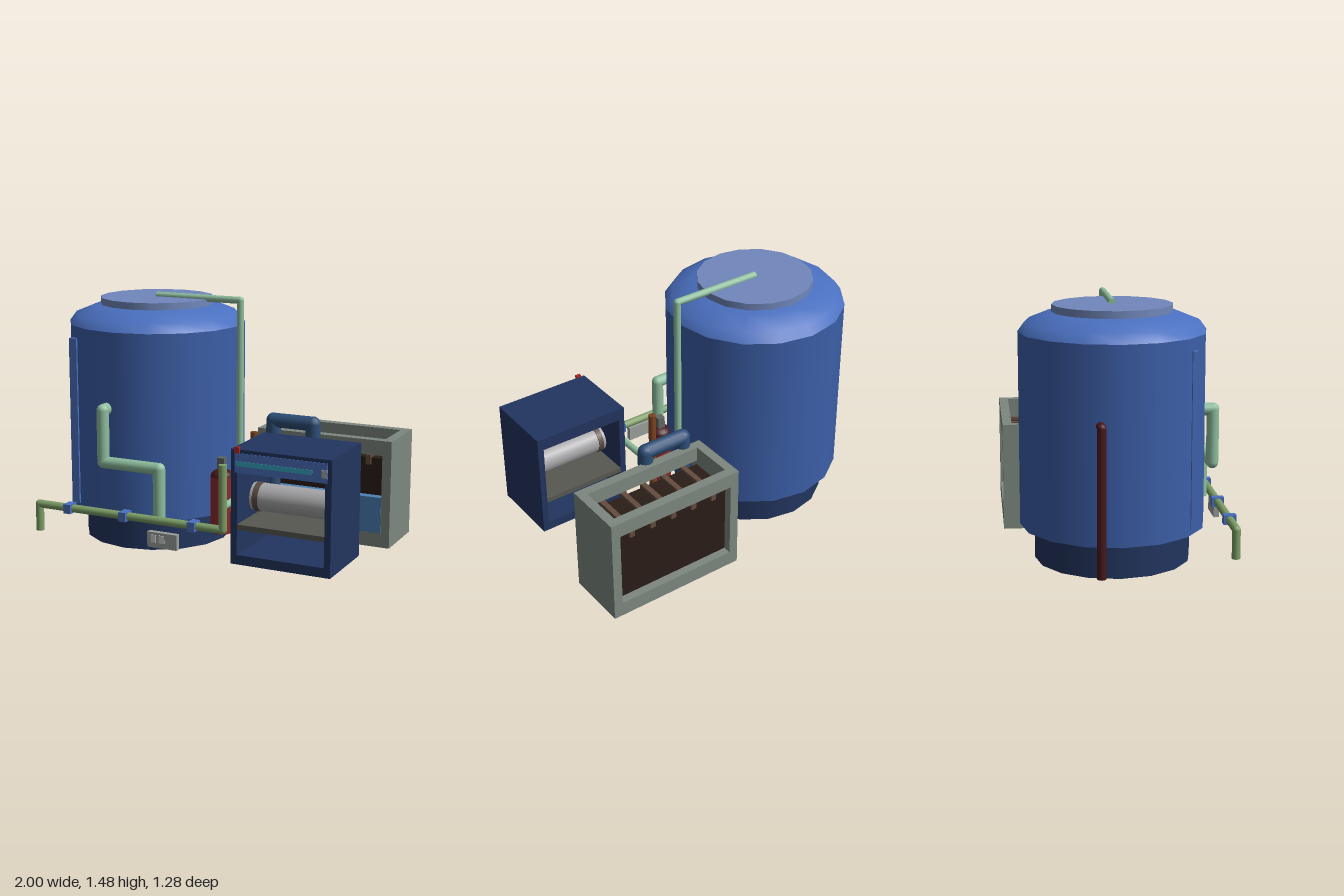
import * as THREE from 'three';

export function createModel() {
  const model = new THREE.Group();
  const mat = (color) => new THREE.MeshStandardMaterial({ color });
  const navy = mat(0x22355f), tankBlue = mat(0x3c5fa8), trimBlue = mat(0x4a70c0);
  const mint = mat(0x8fbf9f), olive = mat(0x7d9f68), concrete = mat(0x7d8880);
  const bark = mat(0x2a1d16), slatBrown = mat(0x644b3e), grey = mat(0x9aa09c);
  const red = mat(0x8c2b2b), maroon = mat(0x48181c), silver = mat(0xa8a8aa);

  function add(name, geometry, material, x = 0, y = 0, z = 0, parent = model) {
    const mesh = new THREE.Mesh(geometry, material);
    mesh.name = name;
    mesh.position.set(x, y, z);
    parent.add(mesh);
    return mesh;
  }

  // Box given by its minimum and maximum on each axis
  function block(name, material, [x0, x1], [y0, y1], [z0, z1], parent = model) {
    return add(name, new THREE.BoxGeometry(x1 - x0, y1 - y0, z1 - z0), material,
      (x0 + x1) / 2, (y0 + y1) / 2, (z0 + z1) / 2, parent);
  }

  // Upright cylinder between two heights
  function drum(name, material, r, y0, y1, x, z, sides = 16, parent = model) {
    return add(name, new THREE.CylinderGeometry(r, r, y1 - y0, sides), material, x, (y0 + y1) / 2, z, parent);
  }

  // Straight pipe runs joined by ball elbows
  function pipe(name, material, r, coords) {
    const group = new THREE.Group();
    group.name = name;
    const pts = coords.map((p) => new THREE.Vector3(...p));
    for (let i = 1; i < pts.length; i++) {
      const dir = pts[i].clone().sub(pts[i - 1]);
      const mid = pts[i].clone().add(pts[i - 1]).multiplyScalar(0.5);
      const run = add('pipeRun', new THREE.CylinderGeometry(r, r, dir.length(), 12), material, mid.x, mid.y, mid.z, group);
      run.quaternion.setFromUnitVectors(new THREE.Vector3(0, 1, 0), dir.normalize());
      if (i < pts.length - 1) {
        add('elbow', new THREE.SphereGeometry(r, 12, 8), material, pts[i].x, pts[i].y, pts[i].z, group);
      }
    }
    model.add(group);
  }

  // Storage tank
  const tx = -0.42, tz = -0.037;
  drum('tankBase', navy, 0.445, 0, 0.2, tx, tz);
  drum('tankBody', tankBlue, 0.527, 0.2, 1.3, tx, tz);
  const dome = [];
  for (let i = 0; i <= 4; i++) {
    const a = (i * Math.PI) / 8;
    dome.push(new THREE.Vector2(Math.max(0.53 * Math.cos(a), 0), 0.145 * Math.sin(a)));
  }
  add('tankDome', new THREE.LatheGeometry(dome, 16), trimBlue, tx, 1.3, tz);
  drum('tankLid', mat(0x7188bc), 0.34, 1.405, 1.45, tx, tz);
  block('levelGauge', trimBlue, [-0.78, -0.73], [0.23, 1.23], [0.36, 0.39]);

  // Pipework
  pipe('fillPipe', mint, 0.021, [[tx, 1.455, tz], [0.132, 1.455, tz], [0.132, 0.368, tz], [0.285, 0.368, tz], [0.285, 0.368, 0.515]]);
  pipe('outletPipe', mint, 0.036, [[-0.475, 0.852, 0.4], [-0.475, 0.852, 0.527], [-0.475, 0.545, 0.527], [-0.11, 0.545, 0.527], [-0.11, 0.25, 0.527]]);
  pipe('frontPipe', olive, 0.024, [[-0.88, 0.1, 0.593], [-0.88, 0.262, 0.593], [0.325, 0.262, 0.593], [0.325, 0.635, 0.593]]);
  for (const x of [-0.67, -0.3, 0.142]) {
    block('pipeClamp', trimBlue, [x - 0.023, x + 0.023], [0.235, 0.29], [0.558, 0.63]);
  }
  pipe('drainPipe', maroon, 0.025, [[-0.975, 0.04, -0.152], [-0.975, 0.865, -0.152], [-0.9, 0.865, -0.152]]);
  pipe('brownPipe', mat(0x7c4322), 0.022, [[0.165, 0.14, 0.045], [0.262, 0.14, 0.045], [0.262, 0.7, 0.045]]);
  pipe('troughPipe', mat(0x2e4f78), 0.045, [[0.255, 0.11, -0.252], [0.255, 0.712, -0.252], [0.512, 0.712, -0.252], [0.512, 0.57, -0.252]]);

  // Pressure cylinder
  drum('cylinderBody', red, 0.066, 0.11, 0.45, 0.117, 0.178, 16);
  const cap = add('cylinderCap', new THREE.SphereGeometry(0.066, 16, 6, 0, Math.PI * 2, 0, Math.PI / 2), maroon, 0.117, 0.45, 0.178);
  cap.scale.y = 0.65;
  block('cylinderValve', mat(0x606862), [0.095, 0.14], [0.48, 0.56], [0.155, 0.2]);

  // Control panel
  block('controlPanel', grey, [-0.13, 0.058], [0.115, 0.205], [0.605, 0.637]);
  for (const x of [-0.09, -0.037]) {
    block('panelButton', mat(0xc8ccc8), [x - 0.017, x + 0.017], [0.145, 0.19], [0.63, 0.642]);
  }

  // Machine cabinet, open at the front and the back
  const cabinet = new THREE.Group();
  cabinet.name = 'cabinet';
  model.add(cabinet);
  const depth = [0.165, 0.605];
  for (const x of [0.38, 0.933]) block('cabinetSide', navy, [x, x + 0.037], [0.08, 0.66], depth, cabinet);
  block('cabinetFloor', navy, [0.417, 0.933], [0.08, 0.135], depth, cabinet);
  block('cabinetTop', navy, [0.38, 0.97], [0.66, 0.735], depth, cabinet);
  block('cabinetShelf', mat(0x565850), [0.417, 0.933], [0.28, 0.31], depth, cabinet);
  block('fascia', trimBlue, [0.403, 0.947], [0.605, 0.715], [0.57, 0.609], cabinet);
  block('displayStrip', mat(0x38a8c4), [0.41, 0.86], [0.643, 0.67], [0.6, 0.612], cabinet);
  block('switch', silver, [0.915, 0.945], [0.635, 0.678], [0.6, 0.615], cabinet);
  block('warningLight', mat(0xb02828), [0.405, 0.435], [0.716, 0.75], [0.6, 0.617], cabinet);

  // Roller with end collars
  for (const [name, material, r, x0, x1] of [
    ['roller', silver, 0.08, 0.425, 0.925],
    ['rollerCollar', mat(0x5c4c46), 0.084, 0.442, 0.475],
    ['rollerCollar', mat(0x5c4c46), 0.084, 0.895, 0.918],
  ]) {
    const part = add(name, new THREE.CylinderGeometry(r, r, x1 - x0, 16), material, (x0 + x1) / 2, 0.42, 0.385, cabinet);
    part.rotation.z = Math.PI / 2;
  }

  // Slatted trough in a concrete frame
  const trough = new THREE.Group();
  trough.name = 'trough';
  model.add(trough);
  const zBack = -0.642, zFront = -0.266;
  for (const x of [0.145, 0.945]) block('troughEnd', concrete, [x, x + 0.055], [0, 0.65], [zBack, zFront], trough);
  block('troughFloor', concrete, [0.2, 0.945], [0, 0.088], [zBack, zFront], trough);
  for (const z of [zBack, zFront - 0.056]) block('troughRail', concrete, [0.2, 0.945], [0.56, 0.65], [z, z + 0.056], trough);
  block('troughFill', bark, [0.2, 0.945], [0.088, 0.53], [-0.592, -0.316], trough);
  for (let i = 0; i < 5; i++) {
    const x = 0.293 + i * 0.138;
    block('slat', slatBrown, [x - 0.016, x + 0.016], [0.49, 0.548], [-0.608, -0.3], trough);
  }
  block('waterPanel', mat(0x4a80b4), [0.2, 0.945], [0.088, 0.305], [-0.32, -0.262], trough);

  return model;
}
